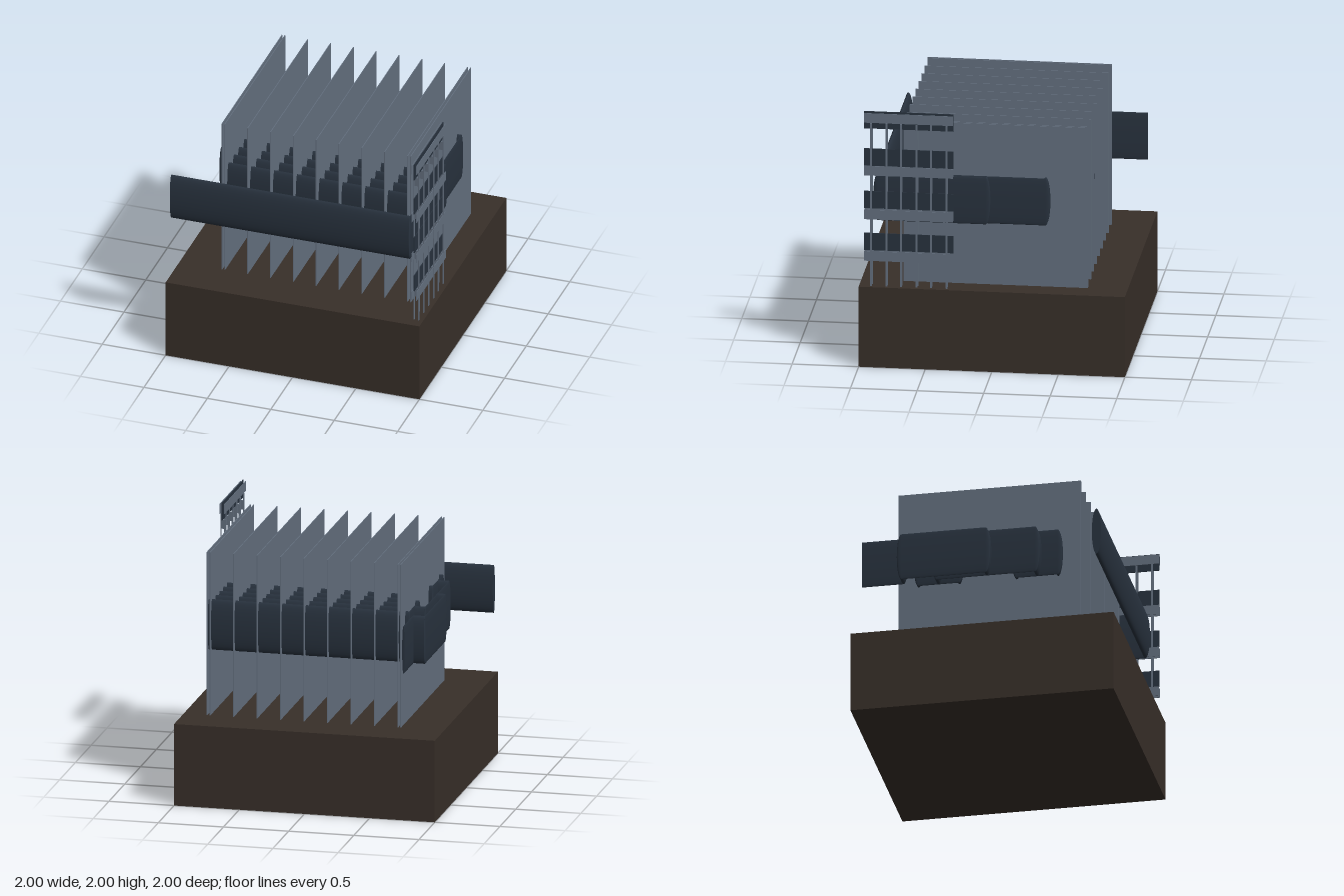
import * as THREE from 'three';

const plateMat = new THREE.MeshStandardMaterial({ color: 0x64707f });
const pipeMat = new THREE.MeshStandardMaterial({ color: 0x28323e });
const baseMat = new THREE.MeshStandardMaterial({ color: 0x382f29 });

// Pipe half sizes along each axis: tall, flattened ellipses
const R = { x: 0.01, y: 0.185, z: 0.035 };
const PIPE_Y = 1.305;

function box(parent, name, mat, size, pos) {
  const mesh = new THREE.Mesh(new THREE.BoxGeometry(...size), mat);
  mesh.position.set(...pos);
  mesh.name = name;
  parent.add(mesh);
  return mesh;
}

// Straight elliptical pipe between two plan points [x, z], along x or z
function run(parent, name, a, b, y = PIPE_Y, ry = R.y) {
  const dx = Math.abs(b[0] - a[0]), dz = Math.abs(b[1] - a[1]);
  const geo = new THREE.CylinderGeometry(1, 1, 1, 32);
  if (dx > dz) geo.rotateZ(Math.PI / 2).scale(dx, ry, R.z);
  else geo.rotateX(Math.PI / 2).scale(R.x, ry, dz);
  const mesh = new THREE.Mesh(geo, pipeMat);
  mesh.position.set((a[0] + b[0]) / 2, y, (a[1] + b[1]) / 2);
  mesh.name = name;
  parent.add(mesh);
}

// Chain of pipe runs with rounded elbows at the inner points
function pipePath(parent, name, points) {
  const group = new THREE.Group();
  group.name = name;
  for (let i = 0; i < points.length - 1; i++) {
    run(group, 'pipeRun', points[i], points[i + 1]);
    if (i === 0) continue;
    const geo = new THREE.SphereGeometry(1, 32, 20).scale(R.x, R.y, R.z);
    const elbow = new THREE.Mesh(geo, pipeMat);
    elbow.position.set(points[i][0], PIPE_Y, points[i][1]);
    elbow.name = 'elbow';
    group.add(elbow);
  }
  parent.add(group);
}

function createFence() {
  const fence = new THREE.Group();
  fence.name = 'fence';
  const z0 = 0.63, length = 0.67, cx = 0.9465;
  const sides = [0.928, 0.965];
  const barZ = [0.345, 0.46, 0.568, 0.685, 0.795, 0.91];
  // y centres of boards, light rails and the spacers between bar pairs
  const boards = [1.93, 1.637, 1.302, 0.972];
  const rails = [1.95, 1.535, 1.19, 0.863];
  const spacers = [1.82, 1.535, 1.19, 0.863];

  for (const y of boards) box(fence, 'board', pipeMat, [0.006, 0.135, length], [cx, y, z0]);
  for (const x of sides) {
    for (const y of rails) box(fence, 'rail', plateMat, [0.004, 0.075, length], [x, y, z0]);
    for (const z of barZ) box(fence, 'bar', plateMat, [0.006, 1.28, 0.014], [x, 1.27, z]);
  }
  for (const y of spacers) {
    for (const z of barZ) box(fence, 'spacer', plateMat, [0.037, 0.07, 0.008], [cx, y, z]);
  }
  return fence;
}

export function createModel() {
  const model = new THREE.Group();
  model.name = 'heatExchanger';

  box(model, 'base', baseMat, [2, 0.63, 2], [0, 0.315, 0]);

  // Fins, doubled at both ends
  const finX = [-0.665, -0.643];
  for (let i = 1; i <= 8; i++) finX.push(-0.643 + i * 0.18);
  finX.push(0.822);
  for (const x of finX) box(model, 'fin', plateMat, [0.006, 1.26, 1.385], [x, 1.26, -0.008]);

  // Ten parallel tubes through the fins
  const tubeZ = [-0.645, -0.525, -0.405, -0.285, -0.165, 0.117, 0.237, 0.36, 0.477, 0.6];
  for (const z of tubeZ) run(model, 'tube', [-0.665, z], [0.822, z], 1.32, 0.195);

  // Branching manifold on the right side
  for (const [near, mid, far] of [[-0.235, -0.39, -0.545], [0.2, 0.36, 0.515]]) {
    pipePath(model, 'smallManifold', [[-0.66, near], [-0.695, near], [-0.695, far], [-0.66, far]]);
    run(model, 'manifoldBranch', [-0.78, mid], [-0.695, mid]);
  }
  pipePath(model, 'mainManifold', [[-0.7, -0.39], [-0.78, -0.39], [-0.78, 0.36], [-0.7, 0.36]]);
  pipePath(model, 'backPipe', [[-0.78, -0.005], [-0.838, -0.005], [-0.838, -0.645], [-0.75, -0.645], [-0.75, -0.96]]);

  // Collector on the left side and the long front pipe
  pipePath(model, 'collector', [[0.82, -0.385], [0.855, -0.385], [0.855, 0.36], [0.82, 0.36]]);
  pipePath(model, 'frontPipe', [[0.855, 0.06], [0.882, 0.06], [0.882, 0.87], [-1, 0.87]]);

  model.add(createFence());
  return model;
}
